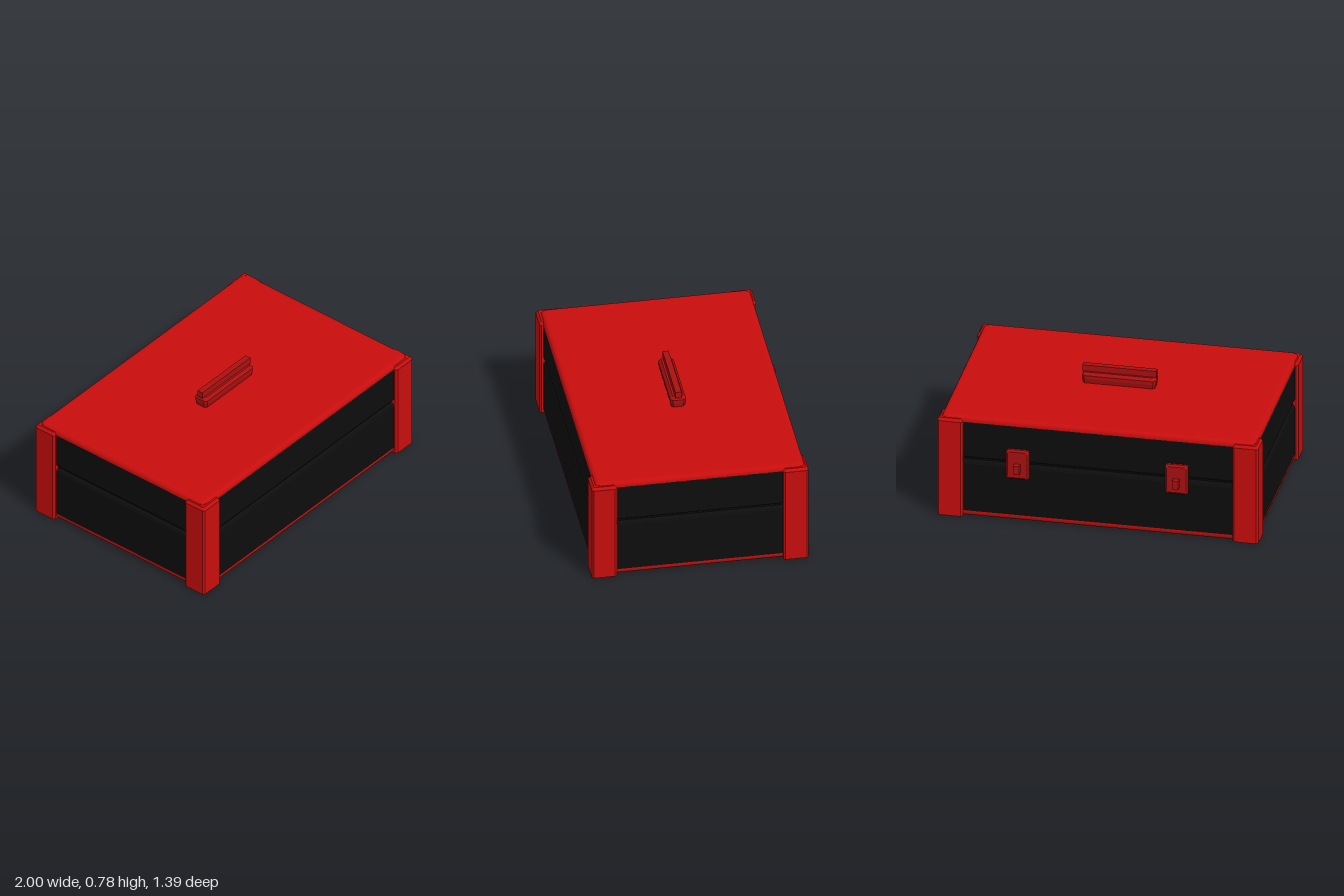
import * as THREE from 'three';

// Chamfered rectangle outline, counter-clockwise seen from above
function outline([y, hx, hz, c]) {
  return [[hx, hz - c], [hx, c - hz], [hx - c, -hz], [c - hx, -hz],
    [-hx, c - hz], [-hx, hz - c], [c - hx, hz], [hx - c, hz]]
    .map(([x, z]) => [x, y, z]);
}

// Closed solid through sections [y, halfX, halfZ, cornerChamfer], bottom to top
function loft(sections) {
  const rings = sections.map(outline);
  const pos = [];
  const tri = (a, b, c) => pos.push(...a, ...b, ...c);
  for (let r = 0; r < rings.length - 1; r++) {
    const lo = rings[r], hi = rings[r + 1];
    for (let i = 0; i < 8; i++) {
      const j = (i + 1) % 8;
      tri(lo[i], lo[j], hi[j]);
      tri(lo[i], hi[j], hi[i]);
    }
  }
  const bottom = rings[0], top = rings[rings.length - 1];
  for (let i = 1; i < 7; i++) {
    tri(top[0], top[i], top[i + 1]);
    tri(bottom[0], bottom[i + 1], bottom[i]);
  }
  const g = new THREE.BufferGeometry();
  g.setAttribute('position', new THREE.Float32BufferAttribute(pos, 3));
  g.computeVertexNormals();
  return g;
}

export function createModel() {
  const red = new THREE.MeshStandardMaterial({ color: 0xc80d0d });
  red.name = 'red';
  const darkRed = new THREE.MeshStandardMaterial({ color: 0xab1010 });
  darkRed.name = 'dark red';
  const black = new THREE.MeshStandardMaterial({ color: 0x0d0d0d });
  black.name = 'black';

  const model = new THREE.Group();
  model.name = 'toolCase';
  const add = (parent, name, geometry, material, x = 0, y = 0, z = 0) => {
    const mesh = new THREE.Mesh(geometry, material);
    mesh.name = name;
    mesh.position.set(x, y, z);
    parent.add(mesh);
    return mesh;
  };

  // Case dimensions
  const HX = 0.98, HZ = 0.65, CZ = 0.022, R = 0.028;
  const section = (y, inset) => [y, HX - inset, HZ - inset, 0.02];

  // Rounded lid and base edges
  const lid = [section(0.636, 0)], base = [];
  for (let i = 0; i <= 4; i++) {
    const a = (i / 4) * Math.PI / 2;
    const inset = R * (1 - Math.cos(a));
    lid.push(section(0.67 - R + R * Math.sin(a), inset));
    base.unshift(section(R - R * Math.sin(a), inset));
  }
  base.push(section(0.037, 0));
  add(model, 'lid', loft(lid), red, 0, 0, CZ);
  add(model, 'base', loft(base), red, 0, 0, CZ);

  // Dark walls with the seam groove around the middle
  add(model, 'walls', loft([
    section(0.037, 0), section(0.355, 0), section(0.37, 0.006), section(0.38, 0.02),
    section(0.39, 0.02), section(0.402, 0.004), section(0.41, 0), section(0.636, 0),
  ]), black, 0, 0, CZ);

  // Corner posts
  const post = loft([
    [0, 0.08, 0.0775, 0.012], [0.638, 0.08, 0.0775, 0.012], [0.655, 0.066, 0.0635, 0.008],
  ]);
  for (const sx of [-1, 1]) {
    for (const sz of [-1, 1]) {
      const name = (sz > 0 ? 'front' : 'back') + (sx > 0 ? 'Left' : 'Right') + 'Post';
      add(model, name, post, red, sx * 0.92, 0, CZ + 0.003 + sz * 0.5925);
    }
  }

  // Handle
  const handle = new THREE.Group();
  handle.name = 'handle';
  handle.position.set(0, 0.665, 0.025);
  model.add(handle);
  add(handle, 'handleBase', loft([
    [0, 0.222, 0.04, 0.012], [0.035, 0.23, 0.048, 0.015],
    [0.057, 0.23, 0.048, 0.015], [0.075, 0.215, 0.032, 0.01],
  ]), darkRed);
  add(handle, 'handleGrip', new THREE.BoxGeometry(0.46, 0.042, 0.038), darkRed, 0, 0.094, 0);

  // Latches on the back wall
  const plate = loft([
    [0, 0.064, 0.09, 0.01], [0.01, 0.072, 0.098, 0.012],
    [0.026, 0.072, 0.098, 0.012], [0.036, 0.06, 0.086, 0.01],
  ]).rotateX(-Math.PI / 2);
  for (const sx of [-1, 1]) {
    const latch = new THREE.Group();
    latch.name = sx > 0 ? 'leftLatch' : 'rightLatch';
    latch.position.set(sx * 0.495, 0.393, CZ - HZ);
    model.add(latch);
    add(latch, 'latchPlate', plate, darkRed);
    add(latch, 'latchKnob', new THREE.BoxGeometry(0.038, 0.056, 0.04), darkRed, 0, -0.02, -0.05);
  }
  return model;
}
